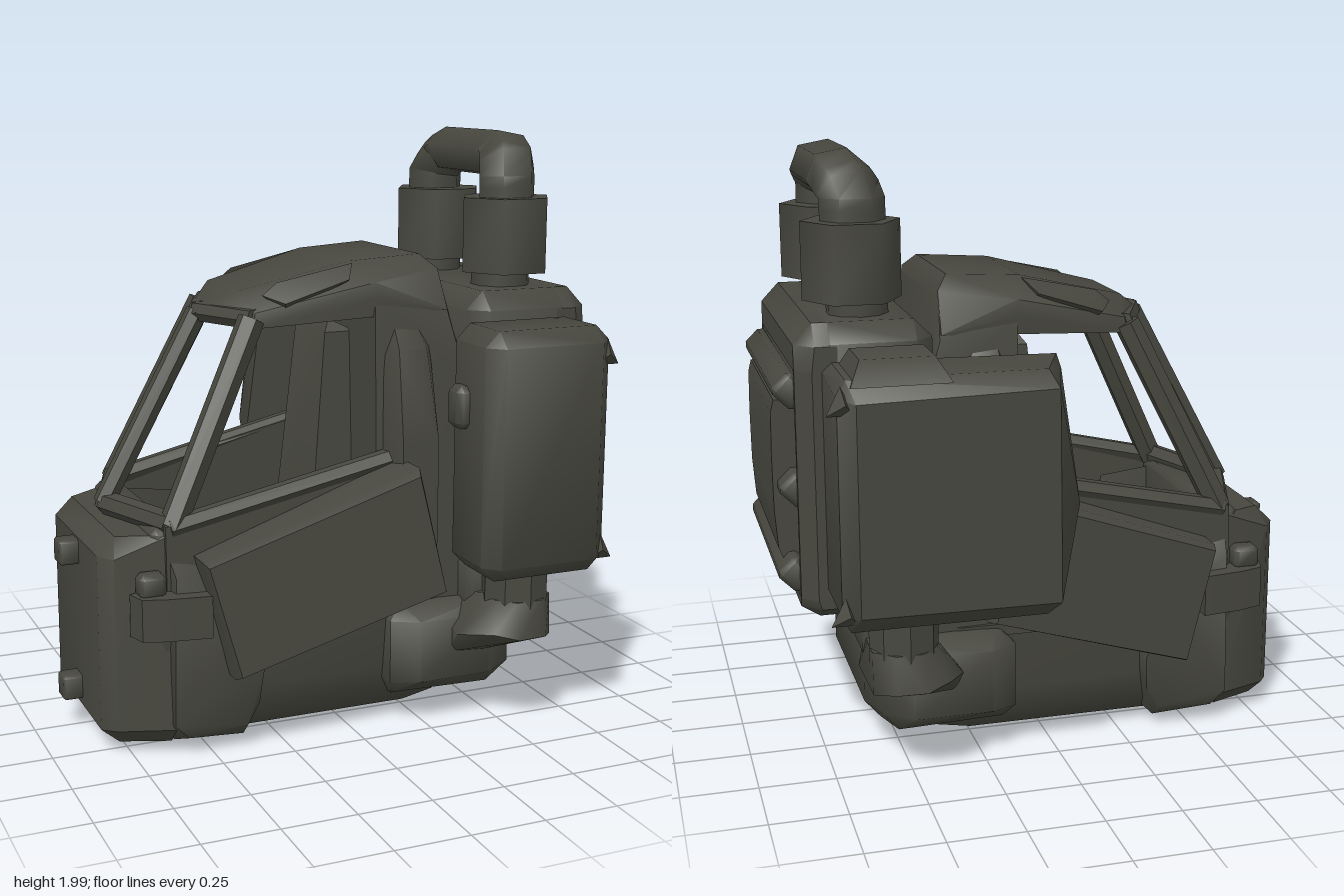
import * as THREE from 'three';
import { toCreasedNormals } from 'three/addons/utils/BufferGeometryUtils.js';
import { ConvexGeometry } from 'three/addons/geometries/ConvexGeometry.js';

const olive = new THREE.MeshStandardMaterial({ color: 0x47473f });
olive.name = 'dark olive metal';
olive.side = THREE.DoubleSide;

const V = (x, y, z) => new THREE.Vector3(x, y, z);

export function createModel() {
  const root = new THREE.Group();
  root.name = 'walkerCockpit';

  function add(name, geo, crease = 0.7) {
    const mesh = new THREE.Mesh(toCreasedNormals(geo, crease), olive);
    mesh.name = name;
    root.add(mesh);
    return mesh;
  }
  // Convex solid around points; mirror = points repeated at -z
  function hull(name, pts, mirror = false, crease = 0.7) {
    const all = pts.map((p) => V(...p));
    if (mirror) pts.forEach((p) => all.push(V(p[0], p[1], -p[2])));
    return add(name, new ConvexGeometry(all), crease);
  }
  // Box between two corners with chamfered edges
  function block(name, a, b, c = 0.02) {
    const pts = [];
    for (let i = 0; i < 8; i++) {
      const s = [i & 1, (i >> 1) & 1, (i >> 2) & 1];
      for (let k = 0; k < 3; k++) {
        pts.push(s.map((up, j) => (up ? b[j] : a[j]) + (j === k ? 0 : up ? -c : c)));
      }
    }
    return hull(name, pts, false, 0.9);
  }
  // Straight bar between two points
  function bar(name, a, b, r, sides = 6) {
    const p = V(...a), q = V(...b), d = q.clone().sub(p);
    const mesh = add(name, new THREE.CylinderGeometry(r, r, d.length(), sides));
    mesh.position.copy(p).add(q).multiplyScalar(0.5);
    mesh.quaternion.setFromUnitVectors(V(0, 1, 0), d.normalize());
    return mesh;
  }

  // Lower hull and nose
  hull('lowerHull', [
    [-0.6, 0.01, 0.18], [0.34, 0.01, 0.18], [-0.68, 0.03, 0.24], [0.38, 0.04, 0.24], [0.42, 0.09, 0.24],
    [-0.55, 0.03, 0.27], [0.25, 0.03, 0.27], [-0.6, 0.1, 0.34], [0.28, 0.1, 0.34], [0.42, 0.15, 0.3],
    [-0.6, 0.2, 0.36], [0.3, 0.2, 0.36], [-0.66, 0.44, 0.38], [0.3, 0.44, 0.39], [0.42, 0.44, 0.36],
  ], true, 1);
  hull('nose', [
    [-0.84, 0.09, 0.27], [-0.84, 0.68, 0.27], [-0.78, 0.04, 0.27], [-0.78, 0.74, 0.27],
    [-0.8, 0.1, 0.33], [-0.8, 0.68, 0.33], [-0.62, 0.04, 0.33], [-0.62, 0.75, 0.36], [-0.62, 0.1, 0.39],
  ], true);
  for (const y of [0.155, 0.63]) block('noseStud', [-0.905, y - 0.042, -0.04], [-0.82, y + 0.042, 0.04], 0.008);

  // Cabin rear wall, seat and roof
  hull('cabinRear', [
    [0.1, 0.4, 0.37], [0.42, 0.4, 0.39], [0.1, 1.47, 0.34], [0.36, 1.4, 0.36], [0.42, 1.2, 0.37], [0.35, 1.53, 0.3],
  ], true);
  hull('roof', [
    [0.31, 1.595, 0.23], [0.06, 1.58, 0.22], [-0.31, 1.49, 0.15], [0.35, 1.55, 0.29], [0.355, 1.42, 0.36],
    [0.1, 1.47, 0.35], [0.1, 1.52, 0.34], [-0.3, 1.38, 0.27], [-0.29, 1.43, 0.26], [-0.42, 1.41, 0.04], [-0.4, 1.38, 0.04],
  ], true);
  block('dashboard', [-0.68, 0.42, -0.35], [-0.58, 0.77, 0.35]);
  block('seatBase', [-0.25, 0.42, -0.18], [0.08, 0.62, 0.18], 0.04);
  hull('seatBack', [
    [-0.06, 0.6, 0.17], [0.12, 0.6, 0.17], [0.01, 1.33, 0.13], [0.12, 1.33, 0.13], [0.04, 1.37, 0.09],
  ], true);

  // Front frame
  bar('centrePillar', [-0.74, 0.78, 0], [-0.4, 1.41, 0], 0.037);
  for (const s of [1, -1]) {
    bar('windowPillar', [-0.61, 0.77, 0.34 * s], [-0.3, 1.41, 0.25 * s], 0.045);
    bar('windowRim', [-0.73, 0.78, 0], [-0.61, 0.78, 0.34 * s], 0.04);
    bar('windowBrow', [-0.4, 1.41, 0], [-0.29, 1.41, 0.25 * s], 0.035);
    bar('windowSill', [-0.62, 0.77, 0.35 * s], [0.15, 0.94, 0.38 * s], 0.035);

    // Side walls and cheeks
    hull('cabinWall', [
      [-0.64, 0.4, 0.35 * s], [0.15, 0.4, 0.35 * s], [-0.64, 0.78, 0.33 * s], [0.15, 0.95, 0.34 * s],
      [-0.64, 0.4, 0.38 * s], [0.15, 0.4, 0.39 * s], [-0.64, 0.78, 0.37 * s], [0.15, 0.95, 0.4 * s],
    ]);
    hull('cheek', [
      [-0.64, 0.08, 0.26 * s], [-0.36, 0.05, 0.26 * s], [-0.6, 0.03, 0.3 * s], [-0.32, 0.27, 0.3 * s], [-0.38, 0.04, 0.36 * s],
      [-0.64, 0.75, 0.3 * s], [-0.4, 0.72, 0.3 * s], [-0.63, 0.12, 0.41 * s], [-0.58, 0.07, 0.4 * s], [-0.38, 0.09, 0.41 * s],
      [-0.34, 0.16, 0.41 * s], [-0.33, 0.28, 0.43 * s], [-0.42, 0.5, 0.44 * s], [-0.62, 0.62, 0.41 * s],
    ], false, 0.9);

    // Tilted door armour
    const outer = [[-0.54, 0.67, 0.505], [0.15, 0.92, 0.59], [0.24, 0.53, 0.61], [-0.44, 0.3, 0.525]];
    const inner = [[-0.55, 0.68, 0.47], [0.165, 0.94, 0.55], [0.26, 0.52, 0.56], [-0.45, 0.28, 0.48],
      [-0.55, 0.68, 0.38], [0.165, 0.94, 0.4], [0.26, 0.52, 0.4], [-0.45, 0.28, 0.38]];
    hull('doorArmour', [...outer, ...inner].map(([x, y, z]) => [x, y, z * s]), false, 0.4);

    // Head lamps, angled with the nose
    hull('headLamp', [0.43, 0.57].flatMap((y) => [
      [-0.76, y, 0.36 * s], [-0.74, y, 0.43 * s], [-0.66, y, 0.455 * s], [-0.52, y, 0.475 * s], [-0.52, y, 0.34 * s], [-0.7, y, 0.33 * s],
    ]));
    block('lampCap', [-0.74, 0.56, 0.38 * s - 0.035], [-0.65, 0.64, 0.38 * s + 0.035], 0.015);

    // Roof grips and rear door posts
    hull('roofGrip', [
      [-0.25, 1.48, 0.22 * s], [-0.2, 1.46, 0.3 * s], [0.02, 1.53, 0.31 * s], [0.06, 1.575, 0.24 * s],
      [-0.2, 1.52, 0.22 * s], [-0.18, 1.42, 0.25 * s], [0.02, 1.5, 0.25 * s],
    ]);
    const bulge = s > 0 ? 0.46 : 0.4;
    hull('doorPost', [
      [0.13, 0.5, 0.3 * s], [0.3, 0.5, 0.3 * s], [0.15, 0.6, bulge * s], [0.28, 0.6, bulge * s], [0.12, 0.95, 0.38 * s],
      [0.15, 1.0, bulge * s], [0.28, 1.0, bulge * s], [0.3, 0.9, 0.4 * s], [0.13, 1.28, 0.34 * s], [0.16, 1.3, 0.4 * s],
      [0.26, 1.3, 0.4 * s], [0.17, 1.385, 0.33 * s], [0.25, 1.385, 0.33 * s], [0.3, 1.3, 0.34 * s],
    ], false, 1);

    // Elbow ducts below the side pods
    bar('ductPipe', [0.53, 0.42, 0.545 * s], [0.53, 0.62, 0.545 * s], 0.112, 8);
    hull('ductElbow', [
      [0.43, 0.47, 0.5], [0.43, 0.47, 0.59], [0.485, 0.47, 0.65], [0.575, 0.47, 0.65], [0.64, 0.47, 0.59], [0.64, 0.47, 0.5],
      [0.575, 0.45, 0.44], [0.485, 0.45, 0.44], [0.4, 0.37, 0.65], [0.48, 0.35, 0.68], [0.58, 0.35, 0.675], [0.64, 0.33, 0.6],
      [0.33, 0.34, 0.52], [0.34, 0.25, 0.44], [0.45, 0.21, 0.37], [0.56, 0.23, 0.35], [0.64, 0.32, 0.32],
      [0.61, 0.42, 0.28], [0.42, 0.42, 0.3], [0.35, 0.36, 0.38],
    ].map(([x, y, z]) => [x, y, z * s]), false, 1);
  }

  // Rear belt wrapping the hull, and neck under the engine
  hull('rearBelt', [
    [0.13, 0.16, 0.42], [0.13, 0.38, 0.42], [0.16, 0.1, 0.36], [0.18, 0.43, 0.38], [0.22, 0.17, 0.475], [0.22, 0.38, 0.47],
    [0.48, 0.17, 0.475], [0.48, 0.38, 0.47], [0.52, 0.1, 0.38], [0.52, 0.43, 0.42], [0.58, 0.18, 0.42], [0.58, 0.38, 0.42],
    [0.62, 0.18, 0.3], [0.62, 0.38, 0.3], [0.56, 0.1, 0.26], [0.58, 0.43, 0.28],
  ], true, 1);
  block('engineNeck', [0.4, 0.38, -0.43], [0.64, 0.57, 0.46], 0.02);

  // Engine block with a recessed rear grille
  block('engineCore', [0.39, 0.53, -0.445], [0.78, 1.485, 0.485], 0.06);
  for (const [inner, mid, outer] of [[1.34, 1.42, 1.485], [0.6, 0.57, 0.53]]) {
    hull('grilleRail', [
      [0.7, inner, -0.445], [0.7, inner, 0.485], [0.78, inner, -0.445], [0.78, inner, 0.485], [0.83, inner, -0.4], [0.83, inner, 0.44],
      [0.7, mid, -0.445], [0.7, mid, 0.485], [0.77, mid, -0.445], [0.77, mid, 0.485], [0.83, mid, -0.39], [0.83, mid, 0.43],
      [0.7, outer, -0.385], [0.7, outer, 0.425], [0.77, outer, -0.385], [0.77, outer, 0.425],
    ]);
  }
  for (const [inner, mid, outer] of [[0.41, 0.44, 0.485], [-0.38, -0.4, -0.445]]) {
    hull('grillePost', [0.6, 1.34].flatMap((y) => [
      [0.7, y, inner], [0.83, y, inner], [0.83, y, mid], [0.78, y, outer], [0.7, y, outer],
    ]));
  }
  hull('grilleCover', [-0.3, 0.34].flatMap((z) => [
    [0.76, 0.68, z], [0.86, 0.68, z], [0.885, 0.74, z], [0.895, 0.87, z], [0.897, 1.05, z], [0.895, 1.19, z], [0.885, 1.23, z], [0.76, 1.23, z],
  ]), false, 0.5);
  for (const y of [0.67, 0.95, 1.27]) {
    const slat = block('grilleSlat', [-0.05, -0.045, -0.39], [0.05, 0.045, 0.4], 0.015);
    slat.position.set(y === 0.95 ? 0.825 : 0.838, y, 0.01);
    slat.rotation.z = Math.PI / 4;
  }

  // Side pods
  block('leftSidePod', [0.3, 0.585, 0.48], [0.75, 1.4, 0.775], 0.05);
  block('podKnob', [0.26, 1.07, 0.54], [0.33, 1.21, 0.63], 0.02);
  hull('rightSidePod', [
    [-0.06, 0.9, -0.44], [-0.03, 0.62, -0.44], [0, 1.36, -0.44], [-0.04, 0.9, -0.58], [0, 0.62, -0.56], [0.02, 1.34, -0.56],
    [0.07, 0.64, -0.76], [0.08, 1.32, -0.76], [0.1, 0.585, -0.7], [0.1, 0.585, -0.48], [0.1, 1.37, -0.7],
    [0.75, 0.64, -0.72], [0.75, 1.32, -0.72], [0.72, 0.585, -0.7], [0.72, 1.37, -0.7], [0.7, 0.65, -0.77], [0.7, 1.31, -0.77],
    [0.75, 0.64, -0.44], [0.75, 1.34, -0.44], [0.72, 0.585, -0.44], [0.72, 1.37, -0.44],
  ]);
  hull('podHatch', [
    [0.4, 1.35, -0.45], [0.71, 1.35, -0.45], [0.4, 1.35, -0.73], [0.71, 1.35, -0.73],
    [0.44, 1.42, -0.48], [0.67, 1.42, -0.48], [0.44, 1.42, -0.66], [0.67, 1.42, -0.66],
  ], false, 1);
  // Small corner hooks on the pods
  for (const z of [0.73, -0.73]) for (const y of [0.66, 1.31]) {
    hull('podHook', [[0.7, y - 0.04, z], [0.785, y - 0.04, z], [0.74, y + 0.05, z], [0.73, y, z + 0.04 * Math.sign(z)]]);
  }

  // Hexagonal exhaust canisters joined by an arch
  for (const z of [0.27, -0.23]) {
    bar('exhaustCollar', [0.6, 1.45, z], [0.6, 1.56, z], 0.1, 10);
    const can = add('exhaustCanister', new THREE.CylinderGeometry(0.16, 0.16, 0.25, 6, 1, false, Math.PI / 2), 1.1);
    can.position.set(0.615, 1.655, z);
  }
  const arch = new THREE.CurvePath();
  const path = [V(0, 1.7, 0.29), V(0, 1.86, 0.285), V(0.025, 1.918, 0.22), V(0.025, 1.918, -0.18), V(0, 1.86, -0.245), V(0, 1.7, -0.25)];
  for (let i = 0; i < path.length - 1; i++) arch.add(new THREE.LineCurve3(path[i], path[i + 1]));
  const archMesh = add('exhaustArch', new THREE.TubeGeometry(arch, 24, 0.084, 6), 1.1);
  archMesh.scale.x = 1.25;
  archMesh.position.x = 0.61;

  return root;
}
